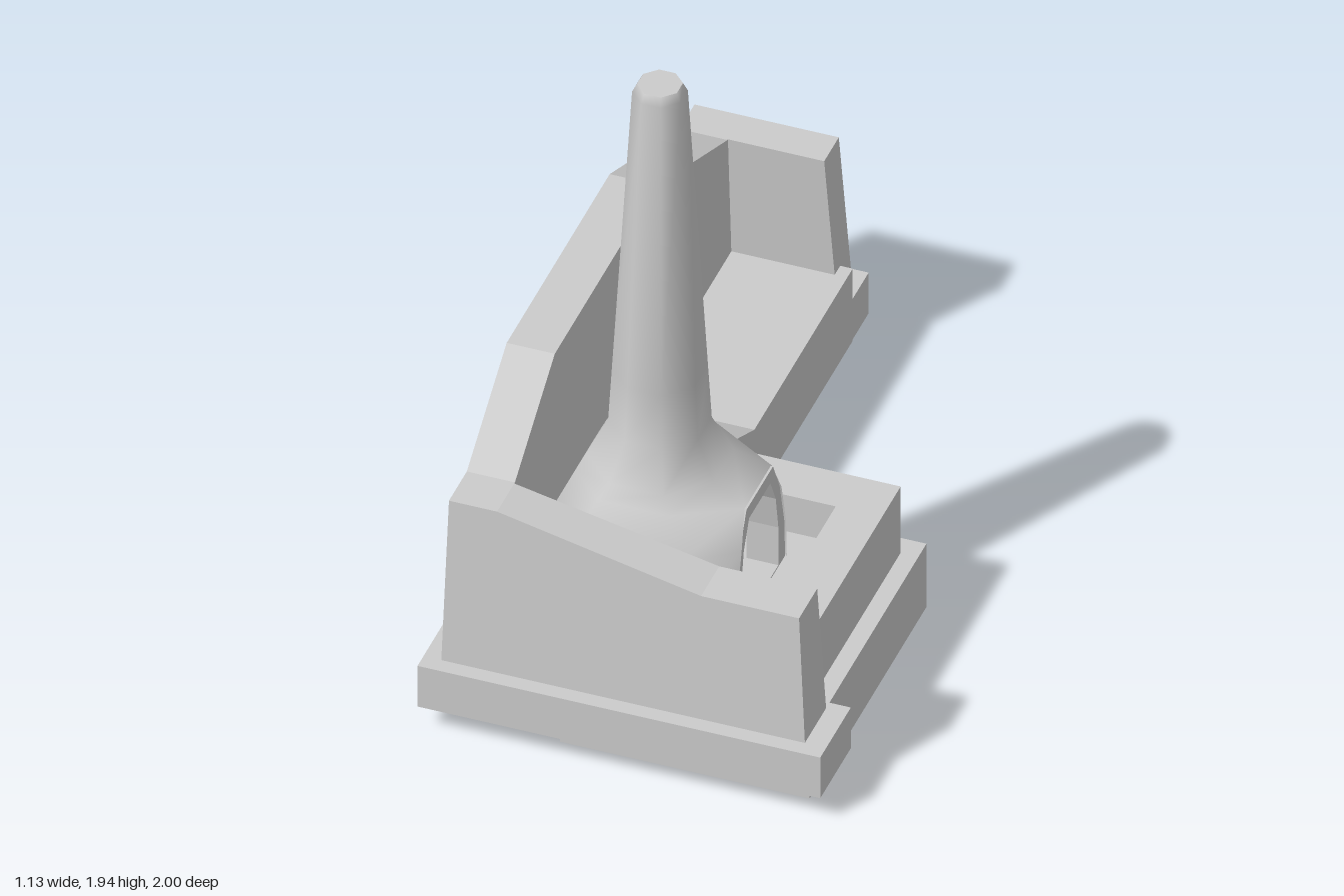
import * as THREE from 'three';

const material = new THREE.MeshStandardMaterial({ color: 0xcccccc, side: THREE.DoubleSide });

function add(group, name, geometry) {
  const mesh = new THREE.Mesh(geometry, material);
  mesh.name = name;
  group.add(mesh);
}

// Box given by its limits on each axis
function block(x0, x1, y0, y1, z0, z1) {
  return new THREE.BoxGeometry(x1 - x0, y1 - y0, z1 - z0)
    .translate((x0 + x1) / 2, (y0 + y1) / 2, (z0 + z1) / 2);
}

const outline = pts => new THREE.Shape(pts.map(p => new THREE.Vector2(...p)));
const extrude = (shape, depth) => new THREE.ExtrudeGeometry(shape, { depth, bevelEnabled: false });

// (x, y) profile extruded from z0 to z1
const alongZ = (shape, z0, z1) => extrude(shape, z1 - z0).translate(0, 0, z0);
// (z, y) profile extruded from x0 to x1
const alongX = (shape, x0, x1) => extrude(shape, x1 - x0).rotateY(-Math.PI / 2).translate(x1, 0, 0);

// Leans the vertices as they rise above the plinth
function lean(geometry, rule) {
  const p = geometry.attributes.position;
  const v = new THREE.Vector3();
  for (let i = 0; i < p.count; i++) {
    v.fromBufferAttribute(p, i);
    rule(v, v.y - 0.21);
    p.setXYZ(i, v.x, v.y, v.z);
  }
  geometry.computeVertexNormals();
  return geometry;
}

// Eight-sided loft, from [height, radius, half flat width, reach toward +x]
function loft(rings, openBelow) {
  const positions = [], index = [];
  for (const [y, r, c, reach = r] of rings) {
    const corners = [[reach, -c], [reach, c], [c, r], [-c, r], [-r, c], [-r, -c], [-c, -r], [c, -r]];
    for (const [x, z] of corners) positions.push(x, y, z);
  }
  for (let j = 0; j < rings.length - 1; j++) {
    for (let i = 0; i < 8; i++) {
      if (i === 0 && rings[j + 1][0] < openBelow) continue; // leave the mouth open
      const a = j * 8 + i, b = j * 8 + (i + 1) % 8;
      index.push(a, a + 8, b, b, a + 8, b + 8);
    }
  }
  const g = new THREE.BufferGeometry();
  g.setAttribute('position', new THREE.Float32BufferAttribute(positions, 3));
  g.setIndex(index);
  g.computeVertexNormals();
  return g;
}

export function createModel() {
  const model = new THREE.Group();
  model.name = 'forge';

  // Plinth around the outside
  add(model, 'sidePlinth', block(-0.57, -0.375, 0.075, 0.21, -1, 1));
  add(model, 'frontPlinth', block(-0.375, 0.56, 0.075, 0.21, 0.77, 1));
  add(model, 'backPlinth', block(-0.375, -0.05, 0.075, 0.21, -1, -0.88));

  // Walls
  add(model, 'sideWall', lean(alongX(outline([
    [0.87, 0.21], [0.87, 0.72], [0.79, 0.72], [0.49, 0.93], [-0.285, 0.93],
    [-0.81, 0.7], [-0.87, 0.7], [-0.87, 0.21],
  ]), -0.52, -0.375), (v, h) => { if (v.x < -0.5) v.x += Math.min(h, 0.5) * 0.02; }));

  add(model, 'frontWall', lean(alongZ(outline([
    [-0.52, 0.21], [0.5, 0.21], [0.475, 0.6], [0.2, 0.6], [-0.375, 0.72], [-0.51, 0.72],
  ]), 0.795, 0.955), (v, h) => { if (v.z > 0.9) v.z -= h * 0.06; }));

  add(model, 'backWall', lean(alongZ(outline([
    [-0.52, 0.21], [-0.08, 0.21], [-0.105, 0.7], [-0.51, 0.7],
  ]), -0.955, -0.845), (v, h) => { v.z += h * 0.065; }));

  // Long bench, ramping up to the hearth
  add(model, 'bench', alongX(outline([
    [-0.88, 0.07], [-0.14, 0.07], [0.105, 0.2], [0.105, 0.43], [-0.14, 0.31], [-0.88, 0.31],
  ]), -0.38, -0.05));

  // Hearth with a sunken pit
  add(model, 'hearthFoot', block(-0.2, 0.5, 0, 0.21, 0.04, 0.92));
  add(model, 'hearthSlab', block(-0.45, -0.15, 0.07, 0.2, 0.1, 0.92));
  add(model, 'pitFloor', block(-0.375, 0.33, 0.2, 0.31, 0.23, 0.8));
  const rim = outline([[-0.38, 0.1], [0.45, 0.1], [0.45, 0.81], [-0.38, 0.81]]);
  rim.holes.push(new THREE.Path([[-0.37, 0.24], [-0.37, 0.795], [0.32, 0.795], [0.32, 0.24]]
    .map(p => new THREE.Vector2(...p))));
  add(model, 'hearthRim', extrude(rim, 0.22).rotateX(Math.PI / 2).translate(0, 0.43, 0));

  // Chimney flaring into a hood
  const chimney = new THREE.Group();
  chimney.name = 'chimney';
  chimney.position.set(-0.065, 0, 0.53);
  add(chimney, 'flue', loft([
    [0.31, 0.28, 0.19, 0.285], [0.43, 0.272, 0.185, 0.285], [0.57, 0.248, 0.15, 0.285],
    [0.675, 0.2, 0.1, 0.275], [0.72, 0.178, 0.076], [0.83, 0.126, 0.052],
    [1.0, 0.117, 0.048], [1.915, 0.068, 0.028], [1.94, 0.056, 0.023],
  ], 0.7));
  add(chimney, 'flueCap', new THREE.CircleGeometry(0.0606, 8)
    .rotateZ(Math.PI / 8).rotateX(-Math.PI / 2).translate(0, 1.94, 0));

  // Arched mouth set into the open side of the hood
  const arch = outline([
    [-0.19, 0.31], [-0.185, 0.43], [-0.15, 0.57], [-0.1, 0.672],
    [0.1, 0.672], [0.15, 0.57], [0.185, 0.43], [0.19, 0.31],
  ]);
  arch.holes.push(new THREE.Path([
    [-0.14, 0.315], [-0.14, 0.44], [-0.12, 0.55], [-0.08, 0.63],
    [0.08, 0.63], [0.12, 0.55], [0.14, 0.44], [0.14, 0.315],
  ].map(p => new THREE.Vector2(...p))));
  add(chimney, 'mouth', alongX(arch, 0.19, 0.28));
  model.add(chimney);

  return model;
}
